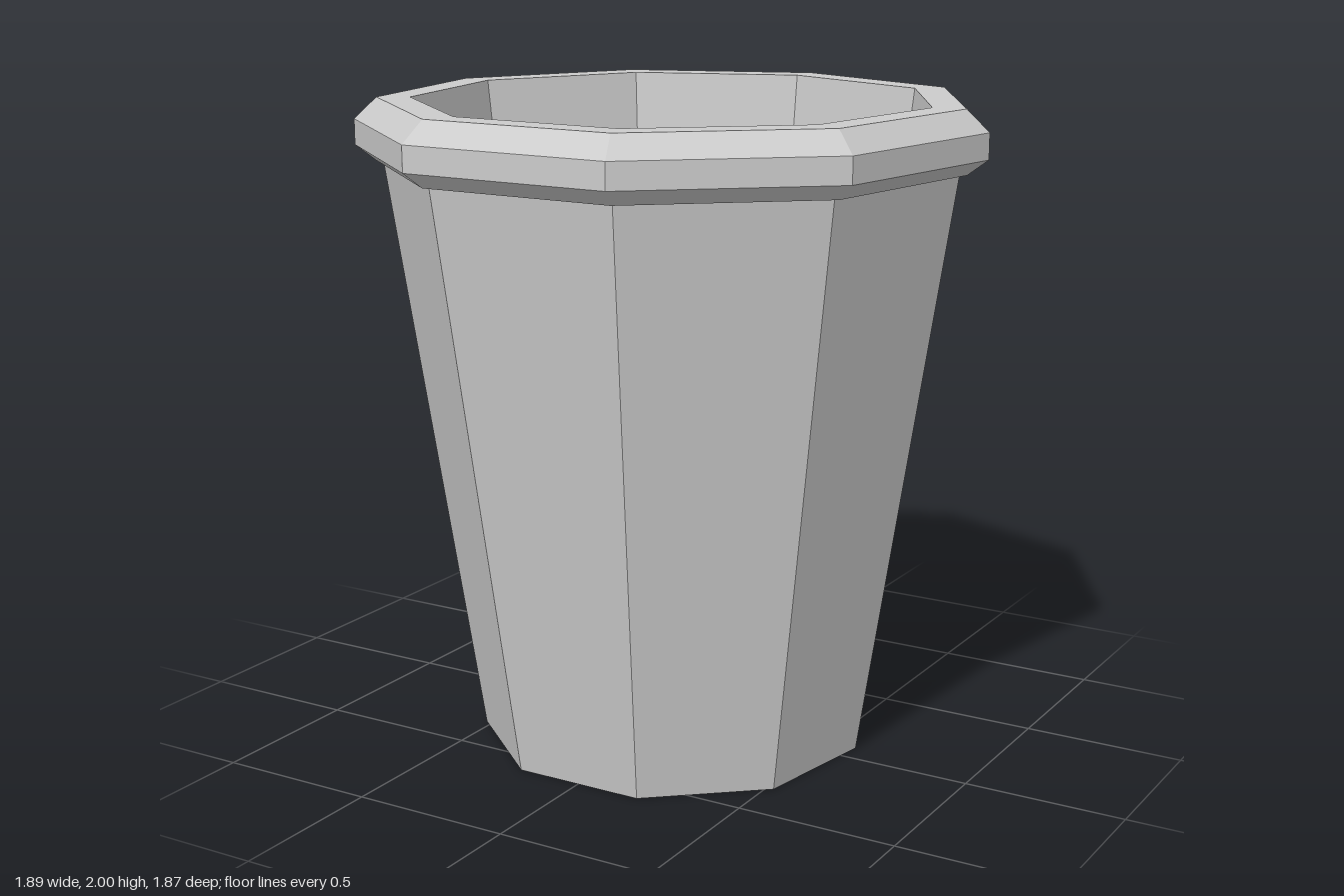
import * as THREE from 'three';

const SIDES = 9;
const grey = new THREE.MeshStandardMaterial({ color: 0xcccccc, flatShading: true });
const greyDouble = new THREE.MeshStandardMaterial({ color: 0xcccccc, flatShading: true, side: THREE.DoubleSide });

// Nine-sided turned part with one corner at the back; profile is [radius, y] pairs
function turned(name, profile) {
  const points = profile.map(([r, y]) => new THREE.Vector2(r, y));
  const geometry = new THREE.LatheGeometry(points, SIDES, Math.PI).toNonIndexed();
  geometry.computeVertexNormals();
  const mesh = new THREE.Mesh(geometry, grey);
  mesh.name = name;
  return mesh;
}

export function createModel() {
  const bin = new THREE.Group();
  bin.name = 'bin';

  // Tapered outer wall
  bin.add(turned('outerWall', [[0.604, 0], [0.878, 1.81]]));

  // Bevelled rim overhanging the wall
  bin.add(turned('rim', [
    [0.878, 1.81], [0.9, 1.81], [0.962, 1.857], [0.962, 1.935], [0.893, 2], [0.792, 2],
  ]));

  // Inner wall, running down past the floor to the foot ring
  bin.add(turned('innerWall', [[0.792, 2], [0.547, 0.05], [0.547, 0]]));
  bin.add(turned('footRing', [[0.547, 0], [0.604, 0]]));

  // Floor, slightly raised so the underside is recessed
  const floor = new THREE.Mesh(new THREE.CircleGeometry(0.547, SIDES, Math.PI / 2), greyDouble);
  floor.name = 'floor';
  floor.rotation.x = -Math.PI / 2;
  floor.position.y = 0.05;
  bin.add(floor);

  // Centre the odd-sided outline front to back
  bin.position.z = 0.028;
  const model = new THREE.Group();
  model.add(bin);
  return model;
}
